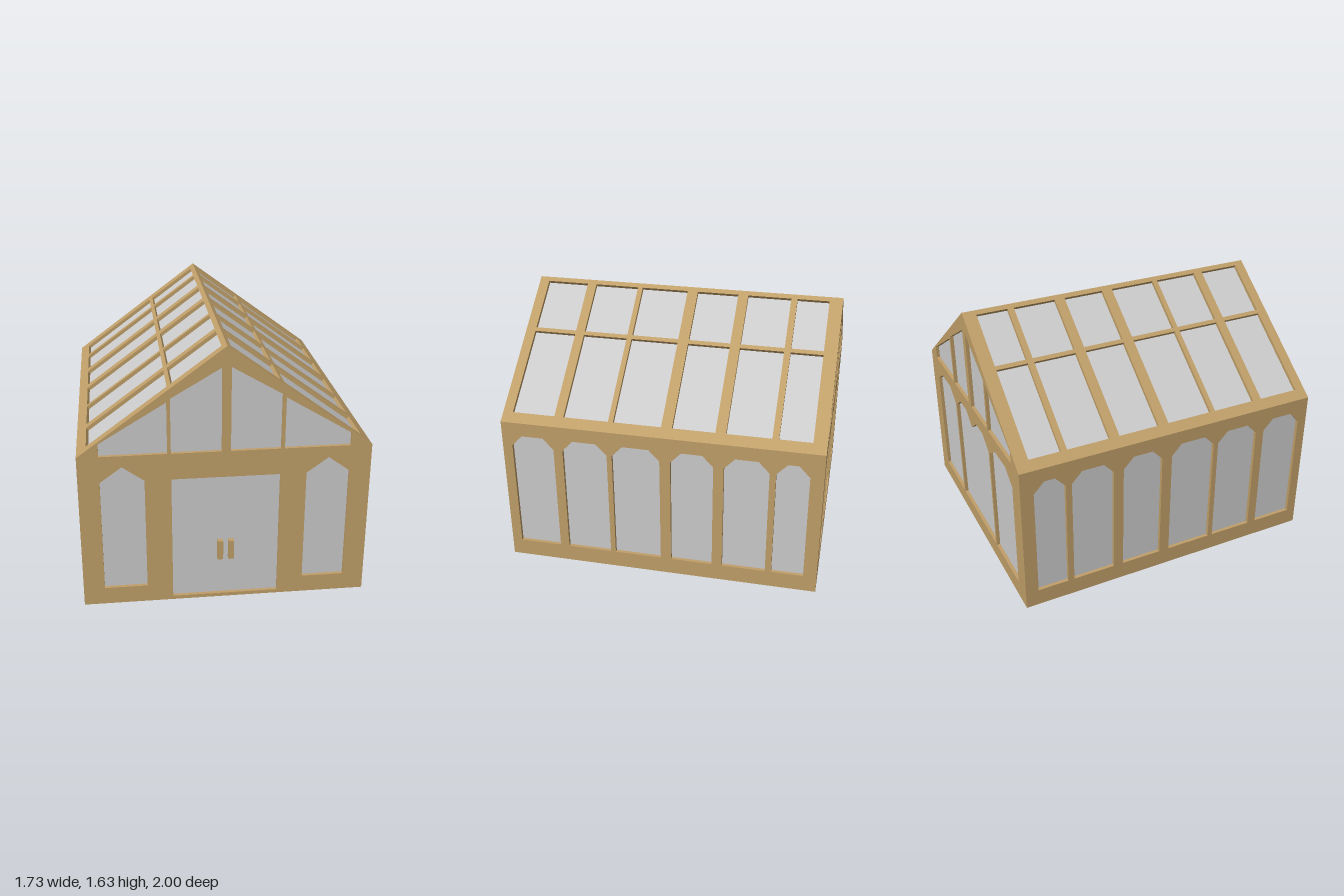
import * as THREE from 'three';

const W = 0.865, EAVE = 0.99, RIDGE = 1.63;   // half width and heights
const Z0 = -1, Z1 = 0.99;                     // back and front faces
const T = 0.025, RECESS = 0.022;              // wall thickness, glass set-back

const frameMat = new THREE.MeshStandardMaterial({ color: 0xc09f69 });
const glassMat = new THREE.MeshStandardMaterial({ color: 0xcccccc });

const vec = (p) => new THREE.Vector2(p[0], p[1]);
const mirror = (pts) => pts.map(([x, y]) => [-x, y]);
const rect = (a, b, y0, y1) => [[a, y0], [b, y0], [b, y1], [a, y1]];

// Window with clipped upper corners
const clipped = (a, b, y0, shoulder, top, cut) =>
  [[a, y0], [b, y0], [b, shoulder], [b - cut, top], [a + cut, top], [a, shoulder]];

// Wall panel with openings and recessed panes; its outer face lies in the u-v plane
function panel(name, outline, openings, origin, u, v) {
  const group = new THREE.Group();
  group.name = name;
  const shape = new THREE.Shape(outline.map(vec));
  openings.forEach((o) => shape.holes.push(new THREE.Path(o.map(vec))));
  const geo = new THREE.ExtrudeGeometry(shape, { depth: T, bevelEnabled: false });
  geo.translate(0, 0, -T);
  const frame = new THREE.Mesh(geo, frameMat);
  frame.name = name + 'Frame';
  group.add(frame);
  openings.forEach((o) => {
    const pane = new THREE.Mesh(new THREE.ShapeGeometry(new THREE.Shape(o.map(vec))), glassMat);
    pane.position.z = -RECESS;
    pane.name = name + 'Pane';
    group.add(pane);
  });
  const n = new THREE.Vector3().crossVectors(u, v);
  group.applyMatrix4(new THREE.Matrix4().makeBasis(u, v, n).setPosition(origin));
  return group;
}

export function createModel() {
  const model = new THREE.Group();
  model.name = 'greenhouse';
  const up = new THREE.Vector3(0, 1, 0);

  // Gable end walls
  const gable = [[-W, 0], [W, 0], [W, EAVE], [0, RIDGE], [-W, EAVE]];
  const gableOuter = [[0.343, EAVE], [0.738, EAVE], [0.738, 1.07], [0.343, 1.31]];
  const gableInner = [[0.026, EAVE], [0.323, EAVE], [0.323, 1.33], [0.026, 1.505]];
  const upper = [gableOuter, gableInner, mirror(gableOuter), mirror(gableInner)];

  const pointed = [[0.478, 0.11], [0.738, 0.11], [0.738, 0.825], [0.608, 0.92], [0.478, 0.825]];
  const door = rect(-0.323, 0.323, 0.023, 0.825);
  model.add(panel('frontWall', gable, [...upper, pointed, mirror(pointed), door],
    new THREE.Vector3(0, 0, Z1), new THREE.Vector3(1, 0, 0), up));

  const backSide = clipped(0.343, 0.738, 0.11, 0.825, 0.9, 0.11);
  const backDouble = [[-0.323, 0.11], [0.323, 0.11], [0.323, 0.825], [0.22, 0.9], [0.1, 0.9],
    [0, 0.825], [-0.1, 0.9], [-0.22, 0.9], [-0.323, 0.825]];
  model.add(panel('backWall', gable, [...upper, backSide, mirror(backSide), backDouble],
    new THREE.Vector3(0, 0, Z0), new THREE.Vector3(-1, 0, 0), up));

  // Side walls and roof slopes share the same bays along z
  const bays = [[0.66, 0.928], [0.32, 0.602], [-0.01, 0.288], [-0.34, -0.077],
    [-0.678, -0.404], [-0.917, -0.717]];
  const rows = [[0.026, 0.315], [0.337, 0.807]];
  const slope = Math.hypot(W, RIDGE - EAVE);
  const along = (x) => (W - x) / W * slope;   // distance up the slope at a given x
  for (const s of [1, -1]) {
    const side = s > 0 ? 'left' : 'right';
    const u = new THREE.Vector3(0, 0, -s);
    const span = (a, b) => [-s * a, -s * b].sort((p, q) => p - q);
    const [e0, e1] = span(Z0 + T, Z1 - T);

    const windows = bays.map(([a, b]) => clipped(...span(a, b), 0.11, 0.828, 0.9, 0.067));
    model.add(panel(side + 'Wall', rect(e0, e1, 0, EAVE), windows,
      new THREE.Vector3(s * W, 0, 0), u, up));

    const lights = bays.flatMap(([a, b]) =>
      rows.map(([x0, x1]) => rect(...span(a, b), along(x1), along(x0))));
    const v = new THREE.Vector3(-s * W, RIDGE - EAVE, 0).normalize();
    model.add(panel(side + 'Roof', rect(e0, e1, 0, slope), lights,
      new THREE.Vector3(s * W, EAVE, 0), u, v));

    // Door handle
    const handle = new THREE.Mesh(new THREE.BoxGeometry(0.034, 0.125, 0.035), frameMat);
    handle.position.set(s * 0.033, 0.333, 1 - 0.0175);
    handle.name = side + 'DoorHandle';
    model.add(handle);
  }

  // Floor
  const floor = new THREE.Mesh(
    new THREE.BoxGeometry(2 * (W - T), 0.02, Z1 - Z0 - 2 * T), frameMat);
  floor.position.set(0, 0.01, (Z0 + Z1) / 2);
  floor.name = 'floor';
  model.add(floor);

  return model;
}
